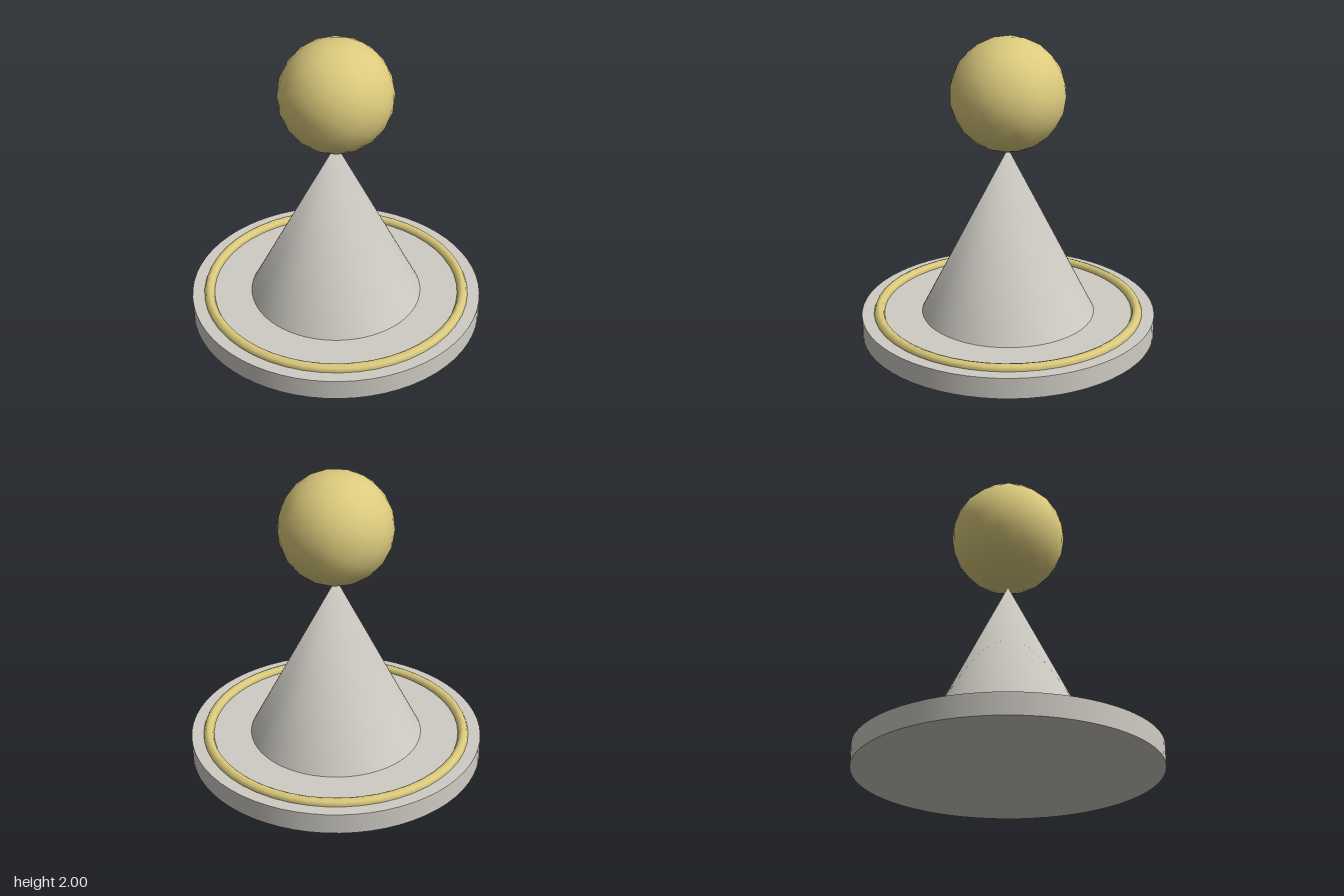
import * as THREE from 'three';
import { mergeVertices } from 'three/addons/utils/BufferGeometryUtils.js';

const stone = new THREE.MeshStandardMaterial({ name: 'stone', color: 0xcfccc4 });
const gold = new THREE.MeshStandardMaterial({ name: 'gold', color: 0xdccb7d });

// Weld shared corners so shading runs smoothly across the surface
function smooth(geometry) {
  geometry.deleteAttribute('uv');
  geometry.deleteAttribute('normal');
  const welded = mergeVertices(geometry, 1e-4);
  welded.computeVertexNormals();
  return welded;
}

export function createModel() {
  const model = new THREE.Group();
  model.name = 'ballOnCone';

  const add = (name, geometry, material, y) => {
    const mesh = new THREE.Mesh(geometry, material);
    mesh.name = name;
    mesh.position.y = y;
    model.add(mesh);
    return mesh;
  };

  // Round plinth
  add('base', new THREE.CylinderGeometry(0.97, 0.97, 0.14, 64), stone, 0.07);

  // Gold ring half sunk into the plinth
  const ring = new THREE.TorusGeometry(0.855, 0.035, 8, 48);
  ring.rotateX(-Math.PI / 2);
  add('ring', ring, gold, 0.143);

  // Tall cone with one shared tip
  const cone = new THREE.ConeGeometry(0.57, 1.13, 64, 1, true);
  add('cone', smooth(cone), stone, 0.14 + 1.13 / 2);

  // Ball resting on the tip
  add('ball', smooth(new THREE.IcosahedronGeometry(0.37, 3)), gold, 1.63);

  return model;
}
